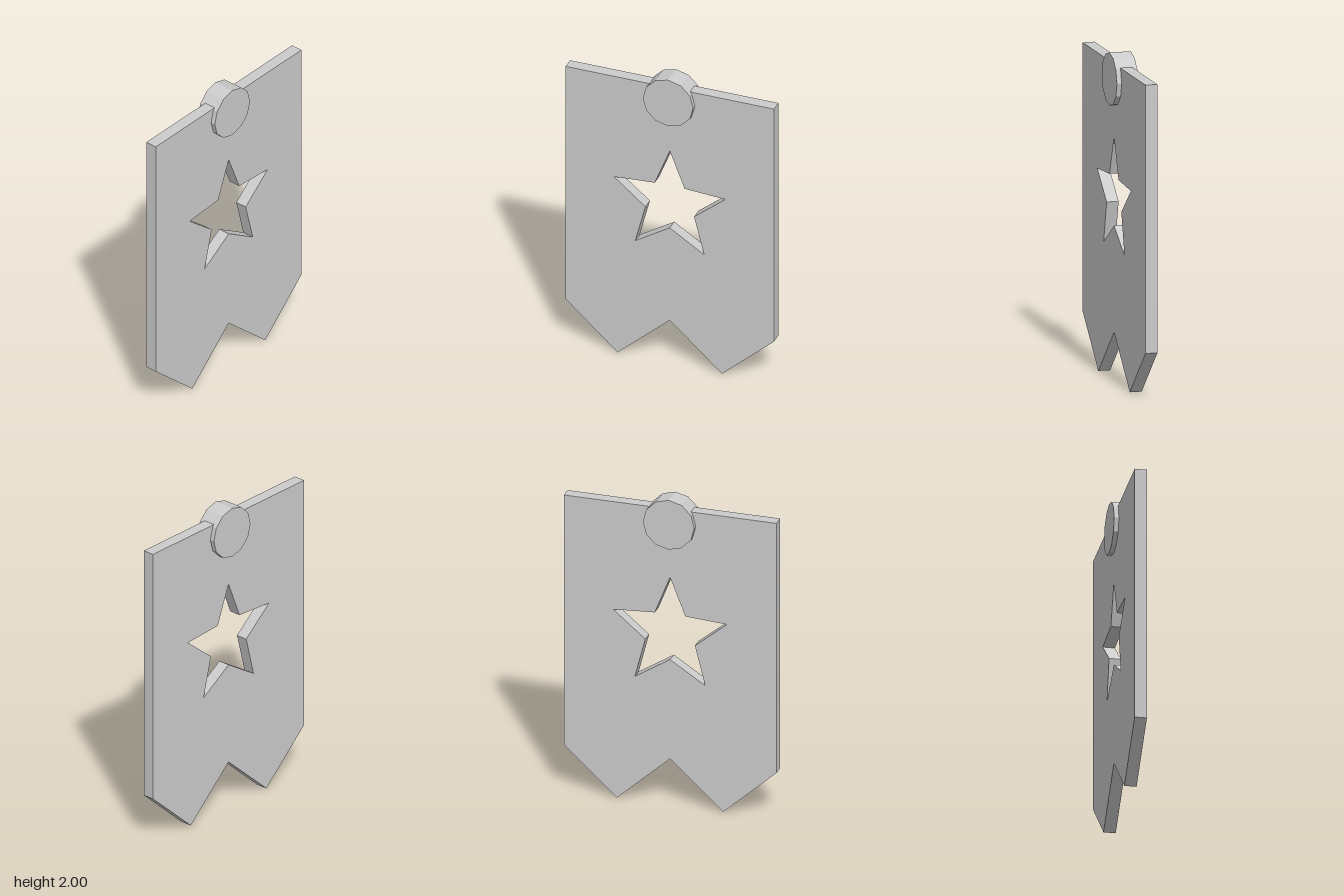
import * as THREE from 'three';

export function createModel() {
  const group = new THREE.Group();
  const grey = new THREE.MeshStandardMaterial({ color: 0xcccccc, flatShading: true });
  grey.name = 'light grey';

  // Banner outline with two pointed tails
  const outline = new THREE.Shape([
    [-0.665, 1.93], [-0.665, 0.3], [-0.333, 0], [0, 0.3], [0.333, 0], [0.665, 0.3], [0.665, 1.93],
  ].map(([x, y]) => new THREE.Vector2(x, y)));

  // Five-pointed star cut-out
  const star = [];
  for (let i = 0; i < 10; i++) {
    const radius = i % 2 ? 0.163 : 0.374;
    const angle = Math.PI / 2 - i * Math.PI / 5;
    star.push(new THREE.Vector2(radius * Math.cos(angle), 1.111 + radius * Math.sin(angle)));
  }
  outline.holes.push(new THREE.Path(star));

  const thickness = 0.074;
  const bannerGeometry = new THREE.ExtrudeGeometry(outline, { depth: thickness, bevelEnabled: false });
  bannerGeometry.translate(0, 0, -thickness / 2);
  const banner = new THREE.Mesh(bannerGeometry, grey);
  banner.name = 'banner';
  group.add(banner);

  // Twelve-sided peg through the top edge
  const pegGeometry = new THREE.CylinderGeometry(0.161, 0.161, 0.132, 12);
  pegGeometry.rotateX(Math.PI / 2);
  const peg = new THREE.Mesh(pegGeometry, grey);
  peg.name = 'peg';
  peg.position.y = 1.839;
  group.add(peg);

  return group;
}
